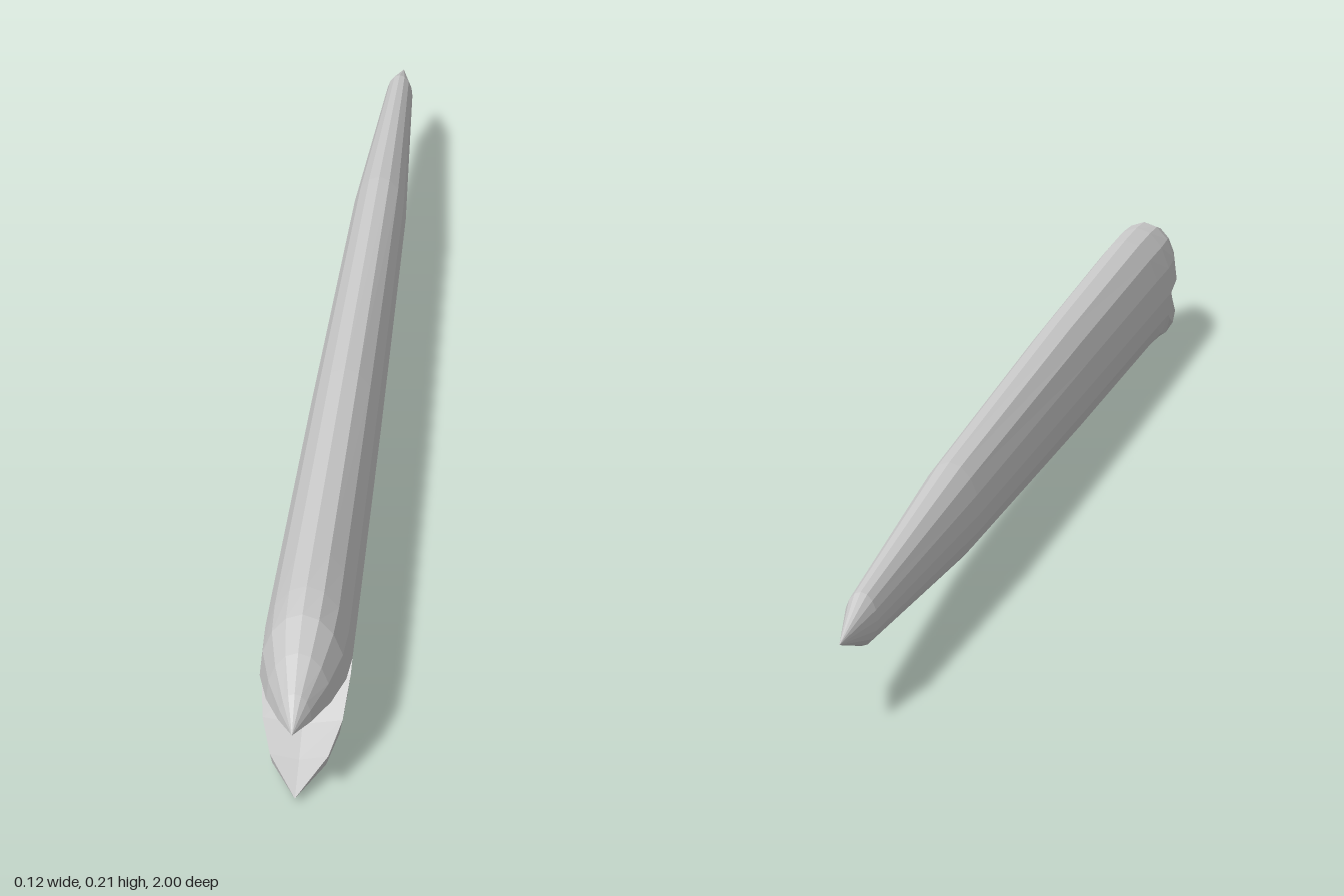
import * as THREE from 'three';

const SEGMENTS = 8; // facets per half section

// Points along an elliptical arc, anticlockwise seen from the front
function arc(z, rx, yMid, ry, from, count) {
  const points = [];
  for (let i = 0; i <= count; i++) {
    const a = from + (i * Math.PI) / SEGMENTS;
    points.push([rx * Math.cos(a), yMid + ry * Math.sin(a), z]);
  }
  return points;
}

// Joins closed rings, listed from back to front, into one faceted skin
function loft(name, rings) {
  const positions = [];
  const same = (p, q) => Math.hypot(p[0] - q[0], p[1] - q[1], p[2] - q[2]) < 1e-6;
  const triangle = (a, b, c) => {
    if (!same(a, b) && !same(b, c) && !same(c, a)) positions.push(...a, ...b, ...c);
  };
  for (let i = 0; i < rings.length - 1; i++) {
    const back = rings[i];
    const front = rings[i + 1];
    for (let j = 0; j < back.length; j++) {
      const k = (j + 1) % back.length;
      triangle(back[j], back[k], front[k]);
      triangle(back[j], front[k], front[j]);
    }
  }
  const geometry = new THREE.BufferGeometry();
  geometry.setAttribute('position', new THREE.Float32BufferAttribute(positions, 3));
  geometry.computeVertexNormals();
  const material = new THREE.MeshStandardMaterial({
    color: 0xcccccc, flatShading: true, side: THREE.DoubleSide,
  });
  const mesh = new THREE.Mesh(geometry, material);
  mesh.name = name;
  return mesh;
}

// Full section with separate upper and lower heights
function bodyRing([z, rx, yMid, yTop, yBottom]) {
  return [
    ...arc(z, rx, yMid, yTop - yMid, 0, SEGMENTS - 1),
    ...arc(z, rx, yMid, yMid - yBottom, Math.PI, SEGMENTS - 1),
  ];
}

// Half section closed by a shallow V across the inside of the mouth
function jawRing([z, rx, yRim, yOuter, yInner], from) {
  return [...arc(z, rx, yRim, Math.abs(yOuter - yRim), from, SEGMENTS), [0, yInner, z]];
}

export function createModel() {
  const group = new THREE.Group();
  group.name = 'worm';

  // Long body tapering to a pointed tail: z, half width, middle, top, bottom
  const body = [
    [-1, 0, 0.12, 0.12, 0.12],
    [-0.9, 0.021, 0.119, 0.155, 0.084],
    [-0.45, 0.041, 0.117, 0.188, 0.048],
    [0.2, 0.051, 0.113, 0.206, 0.025],
    [0.7, 0.057, 0.108, 0.213, 0.013],
    [0.79, 0.058, 0.107, 0.212, 0.009],
  ];
  group.add(loft('body', body.map(bodyRing)));

  // Hooked upper jaw: z, half width, rim, crown, roof of mouth
  const upper = [
    [0.79, 0.058, 0.107, 0.212, 0.107],
    [0.85, 0.055, 0.114, 0.207, 0.116],
    [0.91, 0.041, 0.118, 0.188, 0.119],
    [0.96, 0.021, 0.121, 0.16, 0.122],
    [1, 0, 0.125, 0.125, 0.125],
  ];
  group.add(loft('upperJaw', upper.map((s) => jawRing(s, 0))));

  // Shorter lower jaw: z, half width, rim, underside, mouth floor
  const lower = [
    [0.79, 0.058, 0.107, 0.009, 0.107],
    [0.805, 0.057, 0.092, 0.008, 0.08],
    [0.86, 0.051, 0.058, 0.005, 0.05],
    [0.91, 0.037, 0.036, 0.003, 0.029],
    [0.97, 0, 0.011, 0.011, 0.011],
  ];
  group.add(loft('lowerJaw', lower.map((s) => jawRing(s, Math.PI))));

  // Rest the lowest point on the ground
  group.children.forEach((part) => part.geometry.translate(0, -0.003, 0));
  return group;
}
